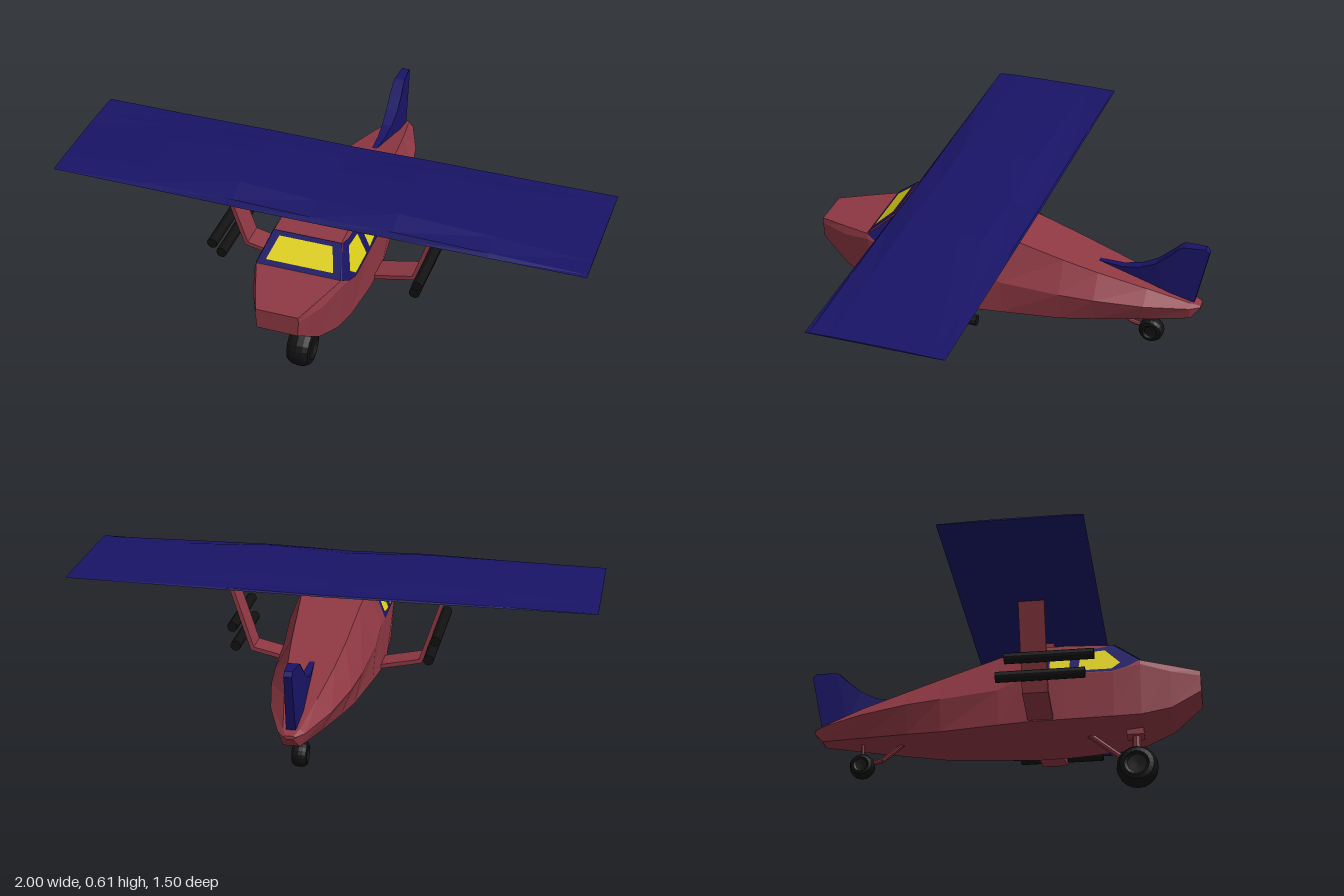
import * as THREE from 'three';

const mat = (color) => new THREE.MeshStandardMaterial({ color, flatShading: true, side: THREE.DoubleSide });
const red = mat(0x8e3843), blue = mat(0x191466), yellow = mat(0xe0d21a), black = mat(0x111111);

// Skin a list of equal-length closed rings (arrays of Vector3) and cap both ends
function loft(rings) {
  const n = rings[0].length, pos = [], idx = [];
  rings.forEach((r) => r.forEach((p) => pos.push(p.x, p.y, p.z)));
  for (let i = 0; i < rings.length - 1; i++) {
    for (let j = 0; j < n; j++) {
      const a = i * n + j, b = i * n + (j + 1) % n;
      idx.push(a, a + n, b + n, a, b + n, b);
    }
  }
  const e = (rings.length - 1) * n;
  for (let j = 1; j < n - 1; j++) idx.push(0, j, j + 1, e, e + j + 1, e + j);
  const g = new THREE.BufferGeometry();
  g.setAttribute('position', new THREE.Float32BufferAttribute(pos, 3));
  g.setIndex(idx);
  const flat = g.toNonIndexed();
  flat.computeVertexNormals();
  return flat;
}

function add(group, name, geometry, material) {
  const m = new THREE.Mesh(geometry, material);
  m.name = name;
  group.add(m);
  return m;
}

// Round bar between two points
function bar(group, name, a, b, r, material, sides = 8) {
  const p = new THREE.Vector3(...a), d = new THREE.Vector3(...b).sub(p);
  const m = add(group, name, new THREE.CylinderGeometry(r, r, d.length(), sides), material);
  m.position.copy(p).addScaledVector(d, 0.5);
  m.quaternion.setFromUnitVectors(new THREE.Vector3(0, 1, 0), d.normalize());
  return m;
}

// Flat polygon given as [z, y] points, laid on a surface by a rule for each vertex
function panel(group, name, pts, rule, material) {
  const g = new THREE.ShapeGeometry(new THREE.Shape(pts.map((p) => new THREE.Vector2(...p))));
  const p = g.attributes.position;
  for (let i = 0; i < p.count; i++) p.setXYZ(i, ...rule(p.getX(i), p.getY(i)));
  g.computeVertexNormals();
  return add(group, name, g, material);
}

function wheel(group, name, y, z, r, w) {
  const pts = [[0, -0.75], [0.45, -0.8], [0.6, -1], [0.82, -0.9], [0.96, -0.5], [1, 0],
    [0.96, 0.5], [0.82, 0.9], [0.6, 1], [0.45, 0.8], [0, 0.75]];
  const g = new THREE.LatheGeometry(pts.map(([a, b]) => new THREE.Vector2(a * r, b * w)), 20);
  g.rotateZ(Math.PI / 2);
  add(group, name, g, black).position.set(0, y, z);
}

export function createModel() {
  const plane = new THREE.Group();
  plane.name = 'aeroplane';

  // Fuselage: z, then half-width and height of the bottom, side and top corners
  const sections = [
    [0.75, 0.075, 0.34, 0.08, 0.4, 0.078, 0.42],
    [0.64, 0.115, 0.26, 0.13, 0.4, 0.12, 0.43],
    [0.53, 0.148, 0.225, 0.166, 0.42, 0.159, 0.44],
    [0.43, 0.165, 0.215, 0.178, 0.39, 0.127, 0.525],
    [0.25, 0.178, 0.207, 0.178, 0.39, 0.124, 0.535],
    [0.11, 0.178, 0.205, 0.178, 0.39, 0.124, 0.531],
    [0, 0.165, 0.205, 0.175, 0.342, 0.115, 0.505],
    [-0.22, 0.135, 0.205, 0.162, 0.325, 0.1, 0.44],
    [-0.35, 0.11, 0.214, 0.148, 0.318, 0.086, 0.403],
    [-0.53, 0.07, 0.227, 0.11, 0.305, 0.06, 0.355],
    [-0.69, 0.03, 0.24, 0.05, 0.292, 0.03, 0.306],
    [-0.725, 0.012, 0.28, 0.022, 0.289, 0.015, 0.293],
  ];
  add(plane, 'fuselage', loft(sections.map(([z, wb, yb, ws, ys, wt, yt]) =>
    [[wb, yb], [ws, ys], [wt, yt], [-wt, yt], [-ws, ys], [-wb, yb]].map(([x, y]) => new THREE.Vector3(x, y, z)))), red);

  // Windscreen: u across, v from 0 at the base to 1 at the roof
  const screen = (lift) => (u, v) => [u, 0.44 + 0.085 * v + lift, 0.53 - 0.1 * v + lift];
  panel(plane, 'windscreenFrame', [[-0.159, 0], [0.159, 0], [0.127, 1], [-0.127, 1]], screen(0.003), blue);
  panel(plane, 'windscreen', [[-0.126, 0.15], [0.126, 0.15], [0.1, 0.86], [-0.1, 0.86]], screen(0.005), yellow);

  // Side windows lie on the sloping cabin walls
  for (const s of [1, -1]) {
    const wall = (lift) => (z, y) => [s * (0.178 - 0.379 * (y - 0.39) + lift), y, z];
    panel(plane, 'sideWindowFrame', [[0.53, 0.44], [0.43, 0.525], [0.38, 0.512], [0.18, 0.5], [0.18, 0.392], [0.43, 0.392], [0.48, 0.408]], wall(0.003), blue);
    panel(plane, 'frontSideWindow', [[0.458, 0.43], [0.4, 0.497], [0.31, 0.49], [0.302, 0.402], [0.425, 0.402]], wall(0.006), yellow);
    panel(plane, 'rearSideWindow', [[0.268, 0.403], [0.272, 0.487], [0.195, 0.484], [0.195, 0.415], [0.21, 0.408]], wall(0.006), yellow);
  }

  // Wing: one airfoil, [z, thickness fraction], flattened towards the tips
  const foil = [[-0.095, 0.1], [-0.09, 0.25], [-0.05, 0.4], [0.02, 0.8], [0.11, 1],
    [0.31, 1], [0.39, 0.5], [0.405, 0.1], [0.39, 0], [-0.05, 0]];
  const spans = [[1, 0.572, 0.577], [0.65, 0.568, 0.595], [0.3, 0.563, 0.612], [0, 0.563, 0.598],
    [-0.3, 0.563, 0.612], [-0.65, 0.568, 0.595], [-1, 0.572, 0.577]];
  add(plane, 'wing', loft(spans.map(([x, lo, hi]) =>
    foil.map(([z, t]) => new THREE.Vector3(x, lo + (hi - lo) * t, z)))), blue);
  // Pylon joining cabin roof and wing
  add(plane, 'wingMount', new THREE.BoxGeometry(0.2, 0.05, 0.095), red).position.set(0, 0.545, 0.158);

  // Bent wing struts with two long tubes on each side
  for (const s of [1, -1]) {
    const pts = [[0.165, 0.207], [0.335, 0.245], [0.44, 0.568], [0.424, 0.568], [0.323, 0.259], [0.165, 0.224]];
    const g = new THREE.ExtrudeGeometry(new THREE.Shape(pts.map(([x, y]) => new THREE.Vector2(s * x, y))),
      { depth: 0.095, bevelEnabled: false });
    add(plane, 'wingStrut', g, red).position.z = 0.112;
    bar(plane, 'upperTube', [s * 0.393, 0.36, 0.38], [s * 0.393, 0.36, 0.055], 0.02, black, 12);
    bar(plane, 'lowerTube', [s * 0.373, 0.297, 0.345], [s * 0.373, 0.297, 0.02], 0.02, black, 12);
  }

  // Fin: extruded outline, thickest near the middle
  const outline = [[-0.28, 0.412], [-0.42, 0.402], [-0.49, 0.415], [-0.55, 0.445], [-0.6, 0.49], [-0.635, 0.525],
    [-0.65, 0.533], [-0.73, 0.536], [-0.745, 0.522], [-0.7, 0.305], [-0.6, 0.32], [-0.4, 0.37]];
  const fin = new THREE.ExtrudeGeometry(new THREE.Shape(outline.map((p) => new THREE.Vector2(...p))),
    { depth: 2, bevelEnabled: false });
  const fp = fin.attributes.position;
  for (let i = 0; i < fp.count; i++) {
    const z = fp.getX(i), y = fp.getY(i);
    const half = z > -0.58 ? THREE.MathUtils.mapLinear(z, -0.28, -0.58, 0.006, 0.025)
      : THREE.MathUtils.mapLinear(z, -0.58, -0.745, 0.025, 0.014);
    fp.setXYZ(i, (1 - fp.getZ(i)) * half, y, z);
  }
  fin.computeVertexNormals();
  add(plane, 'tailFin', fin, blue);

  // Nose gear
  wheel(plane, 'noseWheel', 0.078, 0.5, 0.078, 0.045);
  bar(plane, 'noseLeg', [0, 0.23, 0.5], [0, 0.1, 0.5], 0.016, red);
  add(plane, 'noseLegMount', new THREE.BoxGeometry(0.06, 0.03, 0.065), red).position.set(0, 0.214, 0.498);
  bar(plane, 'noseBrace', [0, 0.222, 0.32], [0, 0.105, 0.46], 0.012, red);

  // Tail gear
  wheel(plane, 'tailWheel', 0.14, -0.54, 0.048, 0.028);
  bar(plane, 'tailLeg', [0, 0.24, -0.54], [0, 0.14, -0.54], 0.007, red);
  bar(plane, 'tailBrace', [0, 0.23, -0.375], [0, 0.16, -0.462], 0.009, red);
  bar(plane, 'tailBraceEnd', [0, 0.16, -0.462], [0, 0.145, -0.53], 0.009, red);

  return plane;
}
